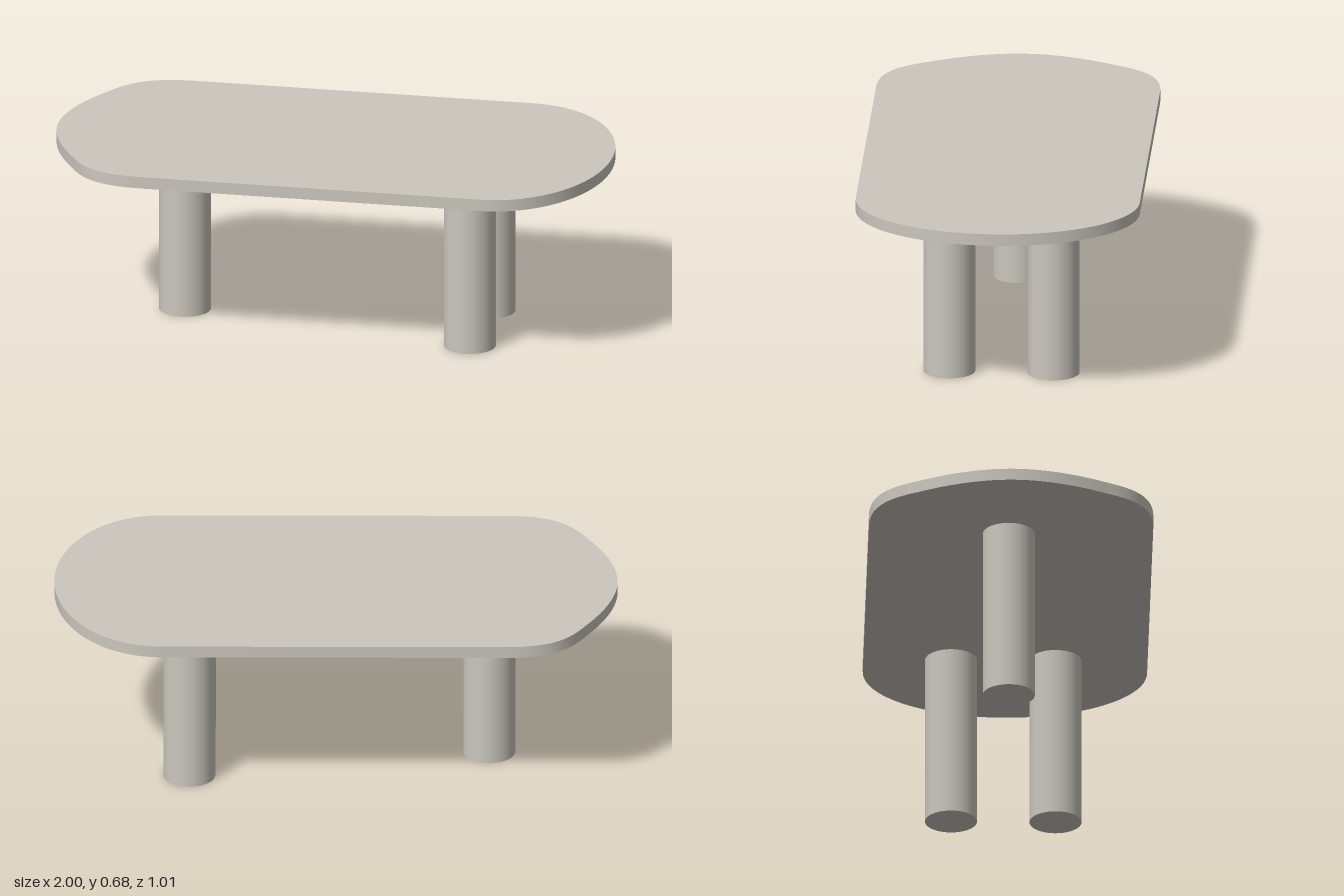
import * as THREE from 'three';
import { toCreasedNormals } from 'three/addons/utils/BufferGeometryUtils.js';

const TOP = 0.675, UNDERSIDE = 0.632, HALF_DEPTH = 0.505;

// Tabletop outline: straight long edges, bowed ends (shape y becomes z)
function topOutline() {
  const s = new THREE.Shape();
  s.moveTo(-0.6, -HALF_DEPTH);
  s.lineTo(0.62, -HALF_DEPTH);
  s.bezierCurveTo(0.83, -HALF_DEPTH, 1, -0.28, 1, 0);
  s.bezierCurveTo(1, 0.28, 0.83, HALF_DEPTH, 0.62, HALF_DEPTH);
  s.lineTo(-0.6, HALF_DEPTH);
  s.bezierCurveTo(-0.76, HALF_DEPTH, -0.83, 0.45, -0.89, 0.335);
  s.bezierCurveTo(-0.93, 0.27, -1, 0.14, -1, 0);
  s.bezierCurveTo(-1, -0.14, -0.93, -0.27, -0.89, -0.335);
  s.bezierCurveTo(-0.83, -0.45, -0.76, -HALF_DEPTH, -0.6, -HALF_DEPTH);
  return s;
}

export function createModel() {
  const table = new THREE.Group();
  table.name = 'table';
  const stone = new THREE.MeshStandardMaterial({ color: 0xcbc7be });
  stone.name = 'warm grey stone';

  // Slab, laid flat with its upper face at TOP
  const slab = new THREE.ExtrudeGeometry(topOutline(), {
    depth: TOP - UNDERSIDE, bevelEnabled: false, curveSegments: 24,
  });
  slab.rotateX(Math.PI / 2);
  slab.translate(0, TOP, 0);
  const tabletop = new THREE.Mesh(toCreasedNormals(slab, 0.6), stone);
  tabletop.name = 'tabletop';
  table.add(tabletop);

  // Three round legs: a pair at one end, a single one at the other
  const legGeometry = new THREE.CylinderGeometry(0.0925, 0.0925, UNDERSIDE, 48);
  const legs = [
    ['frontLeftLeg', 0.52, 0.178],
    ['backLeftLeg', 0.52, -0.193],
    ['rightLeg', -0.545, -0.007],
  ];
  for (const [name, x, z] of legs) {
    const leg = new THREE.Mesh(legGeometry, stone);
    leg.name = name;
    leg.position.set(x, UNDERSIDE / 2, z);
    table.add(leg);
  }
  return table;
}
